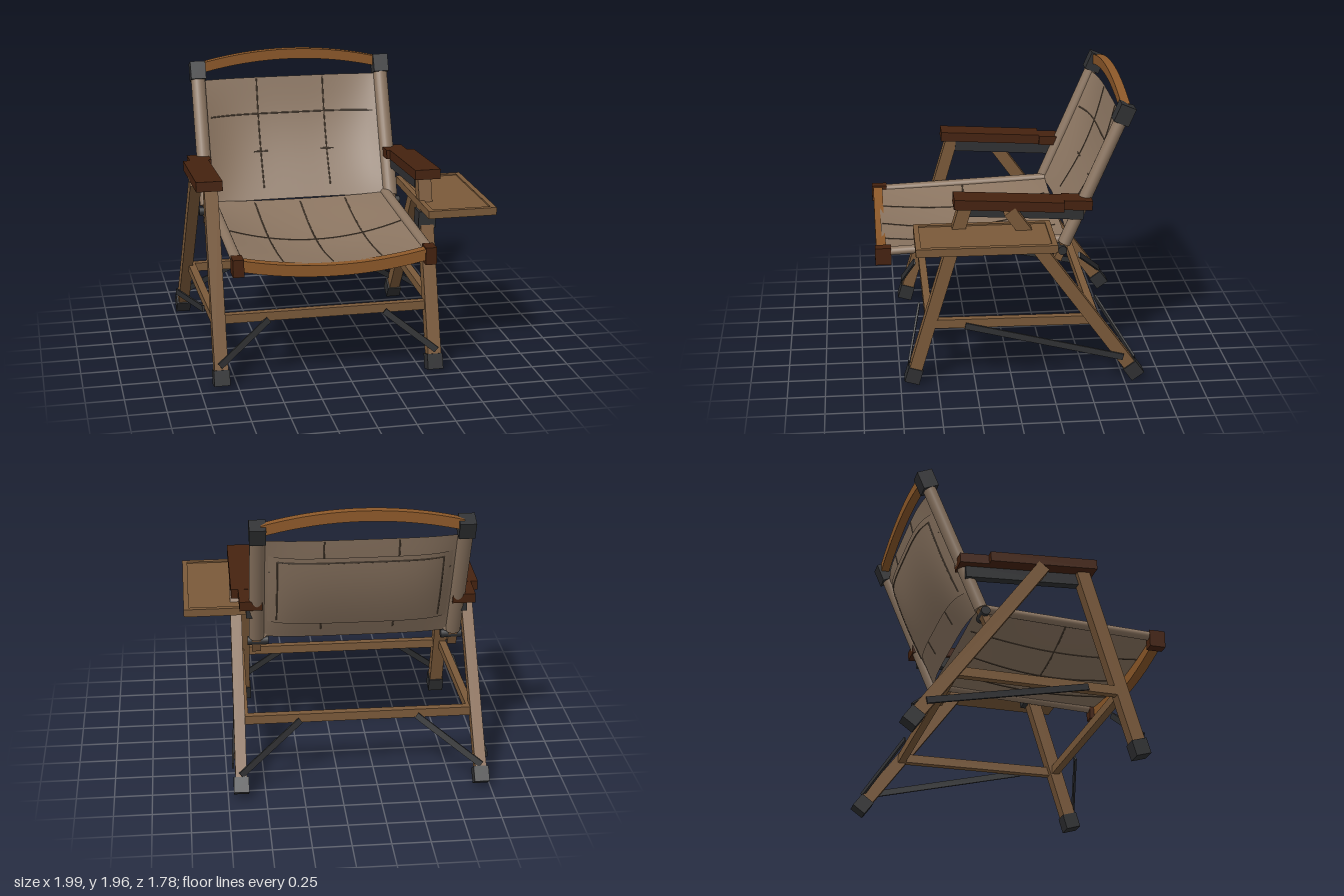
import * as THREE from 'three';

const V = (x, y, z) => new THREE.Vector3(x, y, z);
const mat = (name, color, side = THREE.FrontSide) => {
  const m = new THREE.MeshStandardMaterial({ color, side });
  m.name = name;
  return m;
};

export function createModel() {
  const wood = mat('oak', 0x7a5939);
  const railWood = mat('honeyWood', 0x8c5829);
  const armWood = mat('walnut', 0x45220f);
  const metal = mat('darkMetal', 0x2f3032);
  const canvas = mat('canvas', 0x8b7561, THREE.DoubleSide);
  const seam = mat('seam', 0x655443);

  const model = new THREE.Group();
  model.name = 'campChair';
  const chair = new THREE.Group();
  chair.name = 'chair';
  chair.position.x = -0.1375;
  model.add(chair);

  const add = (name, geo, m, parent = chair) => {
    const mesh = new THREE.Mesh(geo, m);
    mesh.name = name;
    parent.add(mesh);
    return mesh;
  };
  // Turns a geometry whose length runs along y so it spans a to b; ref is the width axis
  const span = (geo, a, b, ref) => {
    const y = b.clone().sub(a).normalize();
    const z = ref.clone().cross(y).normalize();
    const x = y.clone().cross(z);
    const mid = a.clone().add(b).multiplyScalar(0.5);
    return geo.applyMatrix4(new THREE.Matrix4().makeBasis(x, y, z).setPosition(mid));
  };
  const X = V(1, 0, 0), Z = V(0, 0, 1);
  const beam = (name, a, b, w, t, m, ref = X) =>
    add(name, span(new THREE.BoxGeometry(w, a.distanceTo(b), t), a, b, ref), m);
  const sleeve = (name, a, b, w, t) =>
    add(name, span(new THREE.CylinderGeometry(0.5, 0.5, a.distanceTo(b), 20).scale(w, 1, t), a, b, X), canvas);
  const along = (a, b, t) => a.clone().lerp(b, t);

  // Centre line of the reclined back posts
  const postZ = y => -0.305 - 0.4286 * (y - 0.83);

  for (const s of [1, -1]) {
    const side = s > 0 ? 'left' : 'right';
    const p = (x, y, z) => V(s * x, y, z);

    // Legs with rubber feet
    const fTop = p(0.72, 1.25, 0.305), fEnd = p(0.72, 0.01, 0.675);
    const rTop = p(0.785, 1.225, 0.025), rEnd = p(0.8, 0.03, -0.84);
    beam(side + 'FrontLeg', fTop, along(fTop, fEnd, 0.96), 0.09, 0.085, wood);
    beam(side + 'FrontFoot', along(fTop, fEnd, 0.92), fEnd, 0.105, 0.1, metal);
    beam(side + 'RearLeg', rTop, along(rTop, rEnd, 0.96), 0.075, 0.085, wood);
    beam(side + 'RearFoot', along(rTop, rEnd, 0.93), rEnd, 0.1, 0.1, metal);

    // Lower side rail and flat metal braces
    beam(side + 'SideRail', p(0.74, 0.43, 0.54), p(0.76, 0.43, -0.56), 0.05, 0.06, wood);
    beam(side + 'SideBrace', p(0.785, 0.42, 0.315), p(0.85, 0.18, -0.735), 0.014, 0.042, metal);
    beam(side + 'FrontBrace', p(0.39, 0.42, 0.605), p(0.73, 0.15, 0.69), 0.014, 0.042, metal, Z);
    beam(side + 'RearBrace', p(0.39, 0.43, -0.605), p(0.8, 0.15, -0.815), 0.014, 0.042, metal, Z);

    // Stepped armrest with metal channel beneath
    beam(side + 'Armrest', p(0.735, 1.283, 0.383), p(0.735, 1.242, -0.33), 0.175, 0.066, armWood);
    beam(side + 'ArmrestBack', p(0.7, 1.242, -0.33), p(0.7, 1.231, -0.52), 0.15, 0.064, armWood);
    beam(side + 'ArmChannel', p(0.7, 1.205, 0.28), p(0.7, 1.16, -0.47), 0.06, 0.075, metal);

    // Back post, cap and canvas sleeve
    const back = y => p(0.66, y, postZ(y));
    beam(side + 'BackPost', back(0.83), back(1.82), 0.06, 0.05, wood);
    beam(side + 'PostCap', back(1.76), back(1.875), 0.106, 0.105, metal);
    sleeve(side + 'BackSleeve', back(0.94), back(1.765), 0.1, 0.085);

    // Seat rail, sleeve, corner block and pivot
    beam(side + 'SeatRail', p(0.627, 0.91, 0.82), p(0.627, 0.955, -0.36), 0.035, 0.03, wood);
    sleeve(side + 'SeatSleeve', p(0.627, 0.908, 0.84), p(0.627, 0.96, -0.37), 0.07, 0.055);
    add(side + 'SeatCorner', new THREE.BoxGeometry(0.072, 0.115, 0.105), armWood)
      .position.set(s * 0.627, 0.882, 0.842);
    add(side + 'PivotKnob', new THREE.CylinderGeometry(0.03, 0.03, 0.14, 16).rotateZ(Math.PI / 2), metal)
      .position.set(s * 0.65, 0.905, -0.335);
  }

  // Cross bars between the legs
  beam('frontCrossBar', V(-0.7, 0.43, 0.55), V(0.7, 0.43, 0.55), 0.05, 0.06, wood, Z);
  beam('rearCrossBar', V(-0.77, 0.43, -0.55), V(0.77, 0.43, -0.55), 0.05, 0.06, wood, Z);

  // Bowed rails at the top of the back and the front of the seat
  const bowedRail = (name, half, yLow, yHigh, bow, z, depth) => {
    const shape = new THREE.Shape();
    shape.moveTo(-half, yLow);
    shape.quadraticCurveTo(0, yLow + 2 * bow, half, yLow);
    shape.lineTo(half, yHigh);
    shape.quadraticCurveTo(0, yHigh + 2 * bow, -half, yHigh);
    const geo = new THREE.ExtrudeGeometry(shape, { depth, bevelEnabled: false, curveSegments: 24 });
    add(name, geo, railWood).position.z = z;
  };
  bowedRail('topRail', 0.64, 1.805, 1.875, 0.08, -0.77, 0.057);
  bowedRail('frontRail', 0.6, 0.855, 0.93, -0.065, 0.82, 0.065);

  // Canvas surfaces: u runs -1..1 across, v runs 0..1 along
  const seatAt = (u, v) => V(
    0.615 * u,
    0.915 + 0.045 * v - (1 - u * u) * (0.045 - 0.03 * v + 0.075 * Math.sin(Math.PI * v)),
    0.845 - 1.215 * v);
  const backAt = (u, v) => {
    const y = 0.945 + 0.81 * v;
    return V(0.63 * u, y, postZ(y) - (1 - u ** 4) * (0.04 + 0.05 * Math.sin(Math.PI * v)));
  };
  const pocketAt = (u, v) => {
    const q = backAt(0.94 * u, 0.17 + 0.68 * v);
    q.z -= 0.026 * (1 - u ** 8);
    return q;
  };
  const sling = (name, at) => {
    const geo = new THREE.PlaneGeometry(2, 1, 28, 20);
    const pos = geo.attributes.position;
    for (let i = 0; i < pos.count; i++) {
      const q = at(pos.getX(i), pos.getY(i) + 0.5);
      pos.setXYZ(i, q.x, q.y, q.z);
    }
    geo.computeVertexNormals();
    add(name, geo, canvas);
  };
  sling('seatCanvas', seatAt);
  sling('backCanvas', backAt);
  sling('backPocket', pocketAt);

  // Stitched seams lying on the canvas
  const stitch = (name, at, u0, v0, u1, v1) => {
    const pts = [];
    for (let i = 0; i <= 12; i++) {
      const t = i / 12;
      pts.push(at(u0 + (u1 - u0) * t, v0 + (v1 - v0) * t));
    }
    add(name, new THREE.TubeGeometry(new THREE.CatmullRomCurve3(pts), 24, 0.005, 5), seam);
  };
  for (const u of [-0.525, 0, 0.525]) stitch('seatSeam', seatAt, u, 0.01, u, 0.97);
  stitch('seatCrossSeam', seatAt, -0.96, 0.5, 0.96, 0.5);
  for (const u of [-0.38, 0.38]) {
    stitch('backSeam', backAt, u, 0.09, u, 0.99);
    stitch('backShortSeam', backAt, u - 0.08, 0.38, u + 0.08, 0.38);
  }
  stitch('backCrossSeam', backAt, -0.93, 0.69, 0.93, 0.69);
  stitch('pocketHem', pocketAt, -0.9, 0.93, 0.9, 0.93);
  for (const u of [-0.9, 0.9]) stitch('pocketSideSeam', pocketAt, u, 0.05, u, 0.93);

  // Side table: recessed board with rim, clamped to the left front leg
  const table = new THREE.Group();
  table.name = 'sideTable';
  model.add(table);
  const box = (name, w, h, d, x, y, z, m) =>
    add(name, new THREE.BoxGeometry(w, h, d), m, table).position.set(x, y, z);
  box('tableBoard', 0.42, 0.042, 0.86, 0.768, 1.076, 0.197, wood);
  for (const s of [1, -1]) {
    box('tableSideRim', 0.035, 0.052, 0.896, 0.768 + s * 0.2145, 1.081, 0.197, wood);
    box('tableEndRim', 0.394, 0.052, 0.035, 0.768, 1.081, 0.197 + s * 0.4305, wood);
  }
  box('tableClamp', 0.118, 0.115, 0.118, 0.582, 0.985, 0.38, metal);

  return model;
}
